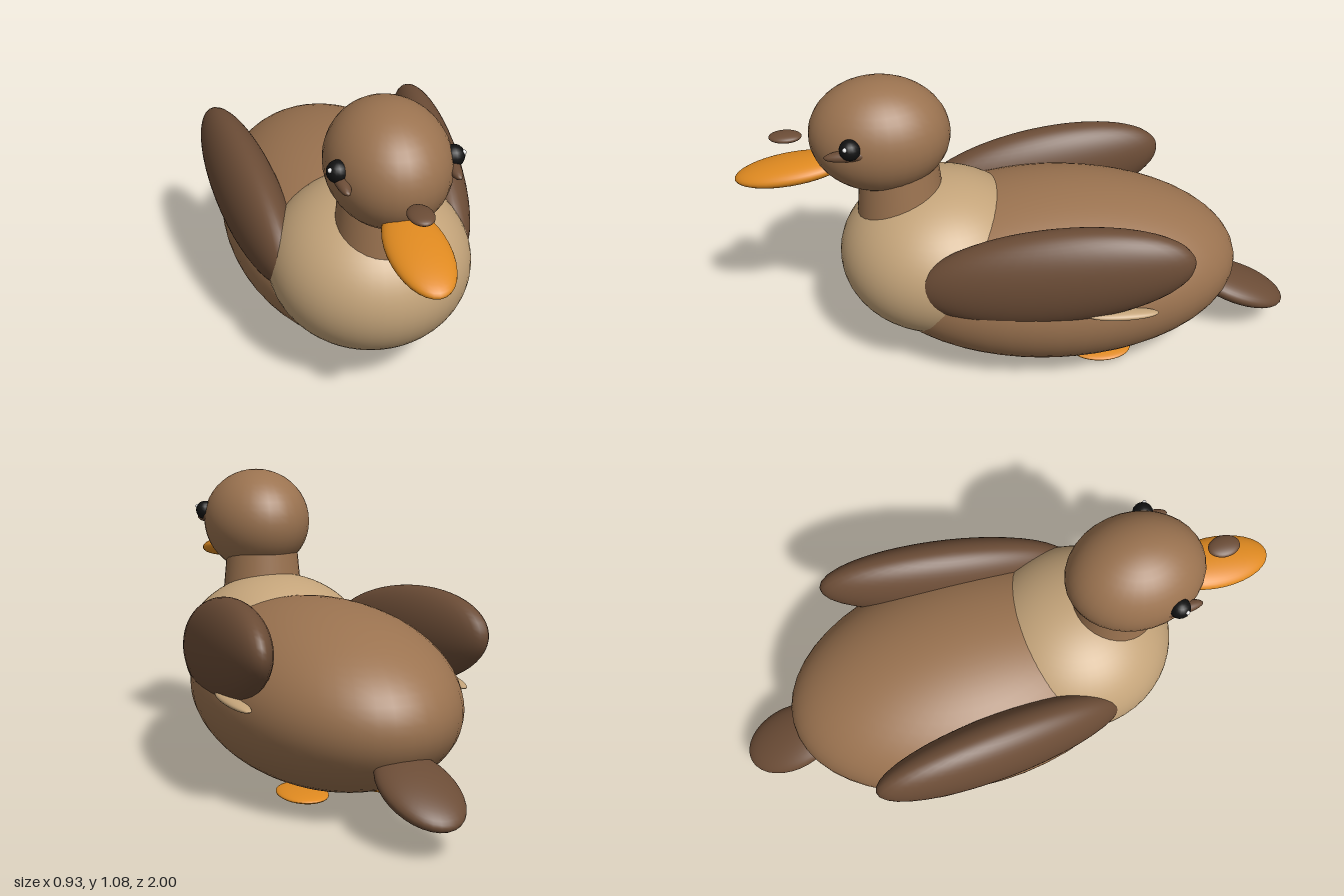
import * as THREE from 'three';

const paint = (name, color) => {
  const m = new THREE.MeshStandardMaterial({ color });
  m.name = name;
  return m;
};

export function createModel() {
  const duck = new THREE.Group();
  duck.name = 'duck';
  const brown = paint('featherBrown', 0x9b7350);
  const dark = paint('darkBrown', 0x6b4c36);
  const tan = paint('breastTan', 0xc4a47a);
  const orange = paint('billOrange', 0xe08a20);
  const black = paint('eyeBlack', 0x111111);
  const white = paint('eyeGlint', 0xf5f5f5);

  // Smooth ellipsoid: centre, radii, pitch (front end down) and yaw
  const ellipsoid = (name, mat, pos, radii, pitch = 0, yaw = 0, seg = 32) => {
    const mesh = new THREE.Mesh(new THREE.SphereGeometry(1, seg, Math.round(seg * 0.7)), mat);
    mesh.name = name;
    mesh.position.set(...pos);
    mesh.scale.set(...radii);
    mesh.rotation.set(pitch, yaw, 0, 'YXZ');
    duck.add(mesh);
    return mesh;
  };

  // Body, breast and tail
  ellipsoid('body', brown, [0, 0.33, -0.105], [0.425, 0.32, 0.68], 0, 0, 48);
  ellipsoid('breast', tan, [0, 0.4, 0.3], [0.35, 0.29, 0.36], 0, 0, 48);
  ellipsoid('tail', dark, [0, 0.175, -0.82], [0.125, 0.05, 0.19], -0.37);

  // Neck and head
  const neck = new THREE.Mesh(new THREE.CylinderGeometry(0.137, 0.156, 0.2, 32), brown);
  neck.name = 'neck';
  neck.position.set(0, 0.67, 0.43);
  duck.add(neck);
  ellipsoid('head', brown, [0, 0.88, 0.488], [0.2, 0.2, 0.242]);

  // Bill and the nostril mark above it
  ellipsoid('bill', orange, [0, 0.75, 0.8], [0.097, 0.04, 0.2], 0.15);
  ellipsoid('nostril', dark, [0, 0.877, 0.808], [0.04, 0.016, 0.056]);

  // Mirrored parts
  for (const [side, s] of [['left', 1], ['right', -1]]) {
    ellipsoid(side + 'Eye', black, [s * 0.182, 0.919, 0.575], [0.036, 0.036, 0.036], 0, 0, 16);
    ellipsoid(side + 'EyeGlint', white, [s * 0.21, 0.934, 0.589], [0.008, 0.008, 0.008], 0, 0, 10);
    ellipsoid(side + 'Cheek', dark, [s * 0.174, 0.894, 0.575], [0.024, 0.02, 0.09], 0.08, 0, 20);
    ellipsoid(side + 'Wing', dark, [s * 0.347, 0.496, -0.085], [0.107, 0.18, 0.475], 0.157, -s * 0.105, 40);
    ellipsoid(side + 'WingStripe', tan, [s * 0.405, 0.37, -0.315], [0.03, 0.015, 0.125], -0.05, s * 0.08);
    ellipsoid(side + 'Foot', orange, [s * 0.145, 0.018, -0.28], [0.085, 0.017, 0.115]);
  }
  return duck;
}
